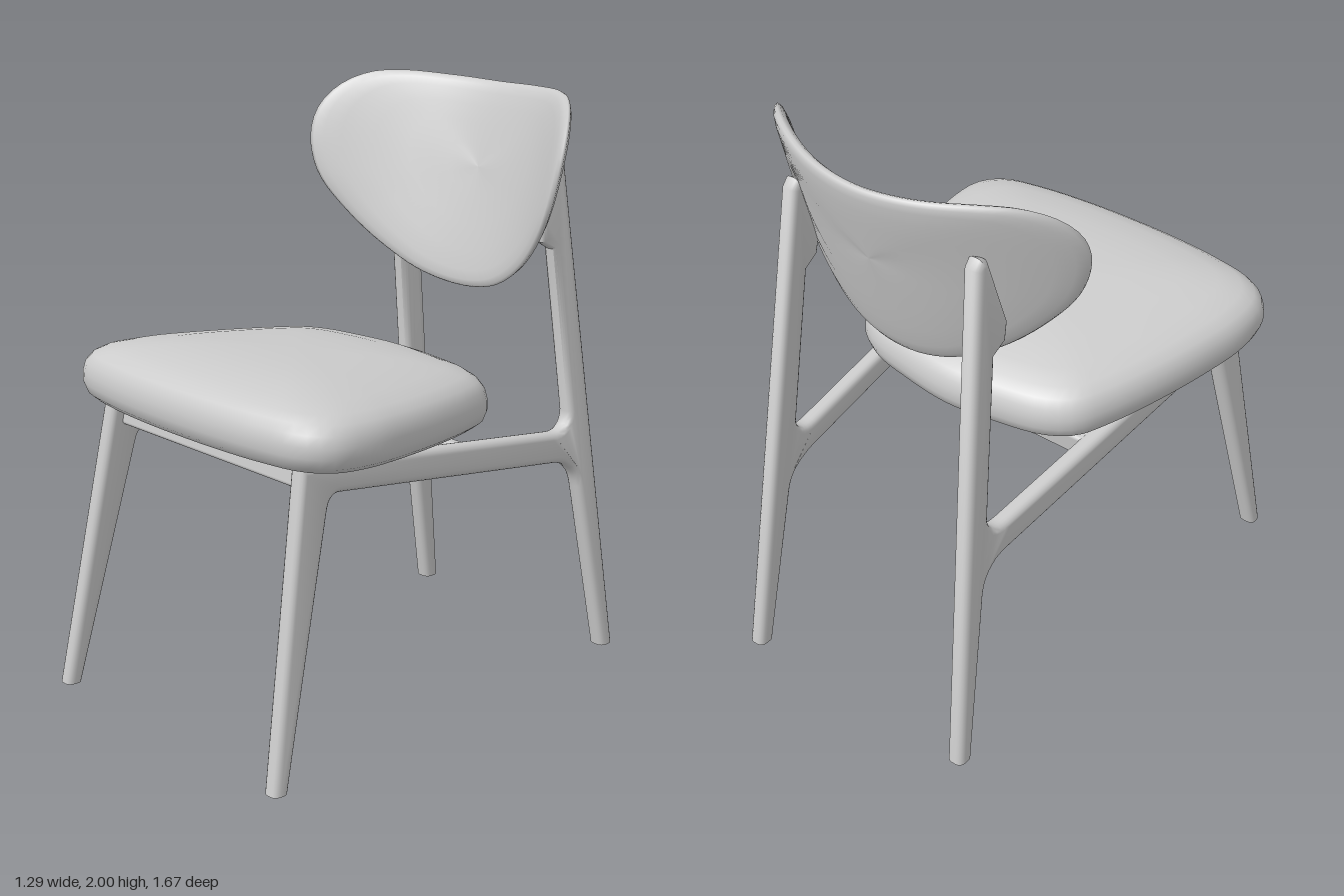
import * as THREE from 'three';
import { toCreasedNormals } from 'three/addons/utils/BufferGeometryUtils.js';
import { RoundedBoxGeometry } from 'three/addons/geometries/RoundedBoxGeometry.js';

// Mirrors a half outline (first and last points on the axis) into a smooth closed loop
function closedOutline(half, count) {
  const mirrored = half.slice(1, -1).reverse().map(([u, v]) => [-u, v]);
  const points = [...half, ...mirrored].map(([u, v]) => new THREE.Vector3(u, v, 0));
  return new THREE.CatmullRomCurve3(points, true, 'centripetal').getSpacedPoints(count).slice(0, count);
}

// Skins a stack of closed rings of equal length
function loft(rings) {
  const n = rings[0].length;
  const index = [];
  for (let i = 0; i < rings.length - 1; i++) {
    for (let j = 0; j < n; j++) {
      const a = i * n + j, b = i * n + (j + 1) % n;
      index.push(a, a + n, b, b, a + n, b + n);
    }
  }
  const geometry = new THREE.BufferGeometry().setFromPoints(rings.flat());
  geometry.setIndex(index);
  geometry.computeVertexNormals();
  return geometry;
}

// Domed cushion, tilted slightly down towards the back
function seatGeometry() {
  const outline = closedOutline([
    [0, -0.31], [0.2, -0.287], [0.36, -0.25], [0.45, -0.19], [0.505, -0.08], [0.57, 0.12], [0.62, 0.33],
    [0.645, 0.5], [0.63, 0.63], [0.56, 0.705], [0.4, 0.745], [0.2, 0.765], [0, 0.77]], 96);
  const profile = [[0.001, 0], [0.5, 0], [0.86, 0.003], [0.94, 0.013], [0.98, 0.032], [1, 0.065], [1, 0.1],
    [0.985, 0.135], [0.95, 0.163], [0.89, 0.185], [0.78, 0.206], [0.6, 0.225], [0.4, 0.235], [0.2, 0.239], [0.001, 0.24]];
  const centre = 0.25;
  return loft(profile.map(([s, h]) => outline.map((p) => {
    const z = centre + (p.y - centre) * s;
    return new THREE.Vector3(p.x * s, 0.945 + 0.062 * z + h, z);
  })));
}

// Padded shell, curved around the sitter and leaning back
function backrestGeometry() {
  const outline = closedOutline([
    [0, 1.985], [0.2, 1.992], [0.38, 2], [0.47, 1.99], [0.54, 1.95], [0.585, 1.88], [0.595, 1.78],
    [0.555, 1.64], [0.465, 1.52], [0.34, 1.41], [0.18, 1.325], [0, 1.297]], 96);
  const profile = [[0.001, -0.028], [0.25, -0.028], [0.5, -0.028], [0.7, -0.027], [0.86, -0.024], [0.94, -0.019],
    [0.985, -0.01], [1, 0], [0.985, 0.01], [0.94, 0.019], [0.86, 0.024], [0.7, 0.027], [0.5, 0.028], [0.25, 0.028], [0.001, 0.028]];
  const bend = 0.85, lean = 0.29, centre = 1.7;
  return loft(profile.map(([s, w]) => outline.map((p) => {
    const x = p.x * s, y = centre + (p.y - centre) * s;
    const normal = new THREE.Vector3(-2 * bend * x, lean, 1).normalize();
    // Only the depth offset varies, so the front outline stays true
    return new THREE.Vector3(x + normal.x * w, y, -0.49 - lean * (y - 1.3) + bend * x * x + normal.z * w);
  })));
}

// One side: front leg, sloping rail and rear leg with backrest bracket, drawn as (z, y)
function sideFrameGeometry(side) {
  const s = new THREE.Shape();
  s.moveTo(0.84, 0);
  s.lineTo(0.66, 1.0);
  s.lineTo(0.52, 0.992);
  s.lineTo(-0.53, 0.842);
  s.quadraticCurveTo(-0.61, 0.83, -0.617, 0.9);
  s.lineTo(-0.548, 1.475);
  s.lineTo(-0.495, 1.505);
  s.lineTo(-0.482, 1.57);
  s.lineTo(-0.552, 1.81);
  s.lineTo(-0.58, 1.825);
  s.lineTo(-0.605, 1.795);
  s.lineTo(-0.835, 0);
  s.lineTo(-0.772, 0);
  s.lineTo(-0.66, 0.62);
  s.quadraticCurveTo(-0.645, 0.715, -0.54, 0.733);
  s.lineTo(0.5, 0.888);
  s.quadraticCurveTo(0.55, 0.897, 0.563, 0.84);
  s.lineTo(0.782, 0);
  const depth = 0.016, bevel = 0.023;
  const geometry = new THREE.ExtrudeGeometry(s, {
    depth, bevelThickness: bevel, bevelSize: bevel, bevelOffset: -bevel, bevelSegments: 4, curveSegments: 8,
  });
  const pos = geometry.attributes.position;
  for (let i = 0; i < pos.count; i++) {
    const z = pos.getX(i);
    const y = pos.getY(i) < 0.04 ? 0 : pos.getY(i); // flat feet
    // Legs splay outwards at the floor; the rail runs between them
    const t = THREE.MathUtils.clamp((z + 0.6) / 1.2, 0, 1);
    const lateral = THREE.MathUtils.lerp(0.45 - 0.052 * y, 0.55 - 0.07 * y, t);
    pos.setXYZ(i, side * lateral - (pos.getZ(i) - depth / 2), y, z);
  }
  return toCreasedNormals(geometry, 0.8);
}

export function createModel() {
  const model = new THREE.Group();
  model.name = 'chair';
  const grey = new THREE.MeshStandardMaterial({ color: 0xcccccc });
  grey.name = 'light grey';

  const add = (name, geometry, x = 0, y = 0, z = 0, tilt = 0) => {
    const mesh = new THREE.Mesh(geometry, grey);
    mesh.name = name;
    mesh.position.set(x, y, z);
    mesh.rotation.x = tilt;
    model.add(mesh);
  };

  add('seatCushion', seatGeometry());
  add('backrest', backrestGeometry(), 0.008);
  add('leftSideFrame', sideFrameGeometry(1));
  add('rightSideFrame', sideFrameGeometry(-1));

  // Cross rails between the side frames, with blocks carrying the seat
  add('frontCrossRail', new RoundedBoxGeometry(0.94, 0.085, 0.05, 3, 0.012), 0, 0.95, 0.595, -0.14);
  add('rearCrossRail', new RoundedBoxGeometry(0.86, 0.085, 0.05, 3, 0.012), 0, 0.857, -0.09, -0.14);
  for (const side of [1, -1]) {
    add('seatSupport', new THREE.BoxGeometry(0.06, 0.07, 0.04), side * 0.3, 0.915, -0.09);
  }
  return model;
}
